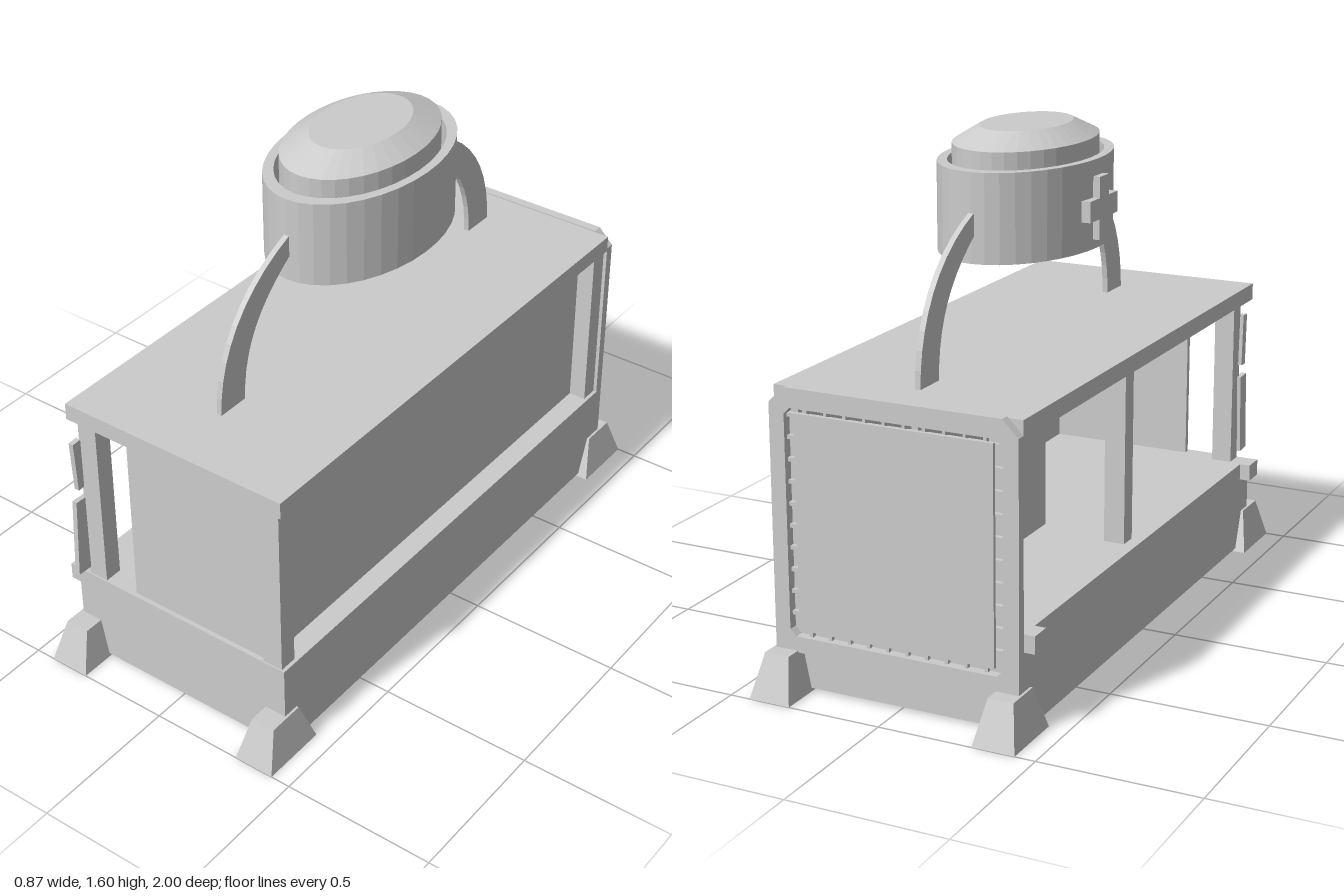
import * as THREE from 'three';

const CENTER_Z = -0.04; // centre of the lamp on the roof

export function createModel() {
  const model = new THREE.Group();
  const mat = new THREE.MeshStandardMaterial({ color: 0xcccccc, flatShading: true, side: THREE.DoubleSide });

  const add = (name, geo, parent = model) => {
    const mesh = new THREE.Mesh(geo, mat);
    mesh.name = name;
    parent.add(mesh);
    return mesh;
  };
  // box given by its extents on each axis
  const box = (name, x0, x1, y0, y1, z0, z1, parent) => {
    const m = add(name, new THREE.BoxGeometry(x1 - x0, y1 - y0, z1 - z0), parent);
    m.position.set((x0 + x1) / 2, (y0 + y1) / 2, (z0 + z1) / 2);
    return m;
  };
  const shapeOf = pts => new THREE.Shape(pts.map(p => new THREE.Vector2(...p)));

  // Body
  box('base', -0.4, 0.4, 0.01, 0.31, -0.87, 0.885);
  box('roof', -0.4, 0.4, 0.88, 0.935, -0.87, 0.885);
  box('frontPanel', -0.18, 0.32, 0.31, 0.88, 0.85, 0.87);
  box('sideWall', 0.31, 0.33, 0.31, 0.88, -0.85, 0.85);
  box('innerPartition', -0.06, -0.04, 0.31, 0.88, -0.85, -0.03);

  // Posts: four corners plus one in the middle of the open side
  for (const [x, z] of [[0.32, 0.82], [0.32, -0.87], [-0.36, 0.82], [-0.36, -0.87], [-0.36, -0.09]]) {
    box('post', x, x + 0.068, 0.31, 0.88, z, z + 0.06);
  }

  // Feet: tapered blocks, mirrored to the four corners
  const footGeo = new THREE.BoxGeometry(0.135, 0.135, 0.22);
  const p = footGeo.attributes.position;
  for (let i = 0; i < p.count; i++) {
    if (p.getY(i) > 0) p.setXYZ(i, p.getX(i) * 0.6, p.getY(i), p.getZ(i) * 0.55);
  }
  for (const sx of [-1, 1]) for (const sz of [-1, 1]) {
    add('foot', footGeo).position.set(sx * 0.3675, 0.0675, sz * 0.89);
  }

  // Small brackets at the ends of the open side
  box('bracket', -0.435, -0.4, 0.255, 0.31, 0.81, 0.885);
  box('bracket', -0.435, -0.4, 0.255, 0.31, -0.87, -0.8);

  // Boards on the front post
  const upperBoard = box('upperBoard', -0.372, -0.355, 0.645, 0.82, 0.875, 0.908);
  upperBoard.rotation.x = 0.05;
  const lowerBoard = box('lowerBoard', -0.372, -0.355, 0.335, 0.605, 0.872, 0.925);
  lowerBoard.rotation.x = -0.05;

  // Rear frame with cut corners, cover plate and grille
  const rear = new THREE.Group();
  rear.name = 'rearHatch';
  model.add(rear);
  const c = 0.05;
  const frame = shapeOf([[-0.4, 0.13], [0.4, 0.13], [0.4, 0.94 - c], [0.4 - c, 0.94],
    [-0.4 + c, 0.94], [-0.4, 0.94 - c]]);
  const w = 0.02;
  frame.holes.push(shapeOf([[-0.35, 0.18 + w], [-0.35, 0.88 - w], [-0.35 + w, 0.88], [0.35 - w, 0.88],
    [0.35, 0.88 - w], [0.35, 0.18 + w], [0.35 - w, 0.18], [-0.35 + w, 0.18]]));
  add('rearFrame', new THREE.ExtrudeGeometry(frame, { depth: 0.03, bevelEnabled: false }), rear)
    .position.z = -0.9;
  box('rearPlate', -0.32, 0.32, 0.2, 0.865, -0.897, -0.885, rear);
  for (let i = 0; i < 10; i++) {
    const y = 0.247 + i * 0.0675;
    box('grilleBar', -0.36, 0.36, y - 0.006, y + 0.006, -0.885, -0.868, rear);
  }
  for (let i = 0; i < 10; i++) {
    const x = -0.289 + i * 0.064;
    box('grilleUpright', x - 0.005, x + 0.005, 0.18, 0.88, -0.885, -0.868, rear);
  }

  // Lamp: oval ring with a flat-topped dome inside
  const lathe = pts => new THREE.LatheGeometry(pts.map(q => new THREE.Vector2(...q)), 36);
  const ring = add('lampRing', lathe([[0.213, 1.232], [0.24, 1.232], [0.24, 1.505], [0.213, 1.505], [0.213, 1.232]]));
  const dome = add('lampDome', lathe([[0, 1.27], [0.2, 1.27], [0.2, 1.555], [0.128, 1.6], [0, 1.6]]));
  for (const m of [ring, dome]) {
    m.position.z = CENTER_Z;
    m.scale.z = 1.535;
  }

  // Cross plate on the side of the ring
  const cross = new THREE.Group();
  cross.name = 'crossPlate';
  model.add(cross);
  box('crossUpright', -0.26, -0.225, 1.262, 1.455, CENTER_Z - 0.033, CENTER_Z + 0.033, cross);
  for (const s of [-1, 1]) {
    box('crossArm', -0.26, -0.21, 1.326, 1.391, CENTER_Z + s * 0.065 - 0.033, CENTER_Z + s * 0.065 + 0.033, cross);
  }

  // Curved arms carrying the lamp, front and rear
  const arm = new THREE.Shape();
  arm.moveTo(0.59, 0.93);
  arm.lineTo(0.70, 0.93);
  arm.bezierCurveTo(0.70, 1.13, 0.59, 1.30, 0.36, 1.387);
  arm.lineTo(0.36, 1.32);
  arm.bezierCurveTo(0.51, 1.22, 0.59, 1.11, 0.59, 0.93);
  const armGeo = new THREE.ExtrudeGeometry(arm, { depth: 0.018, bevelEnabled: false, curveSegments: 10 });
  armGeo.translate(0, 0, -0.009);
  for (const s of [-1, 1]) {
    const m = add(s > 0 ? 'frontArm' : 'rearArm', armGeo);
    m.rotation.y = -s * Math.PI / 2;
    m.position.z = CENTER_Z;
  }

  return model;
}
